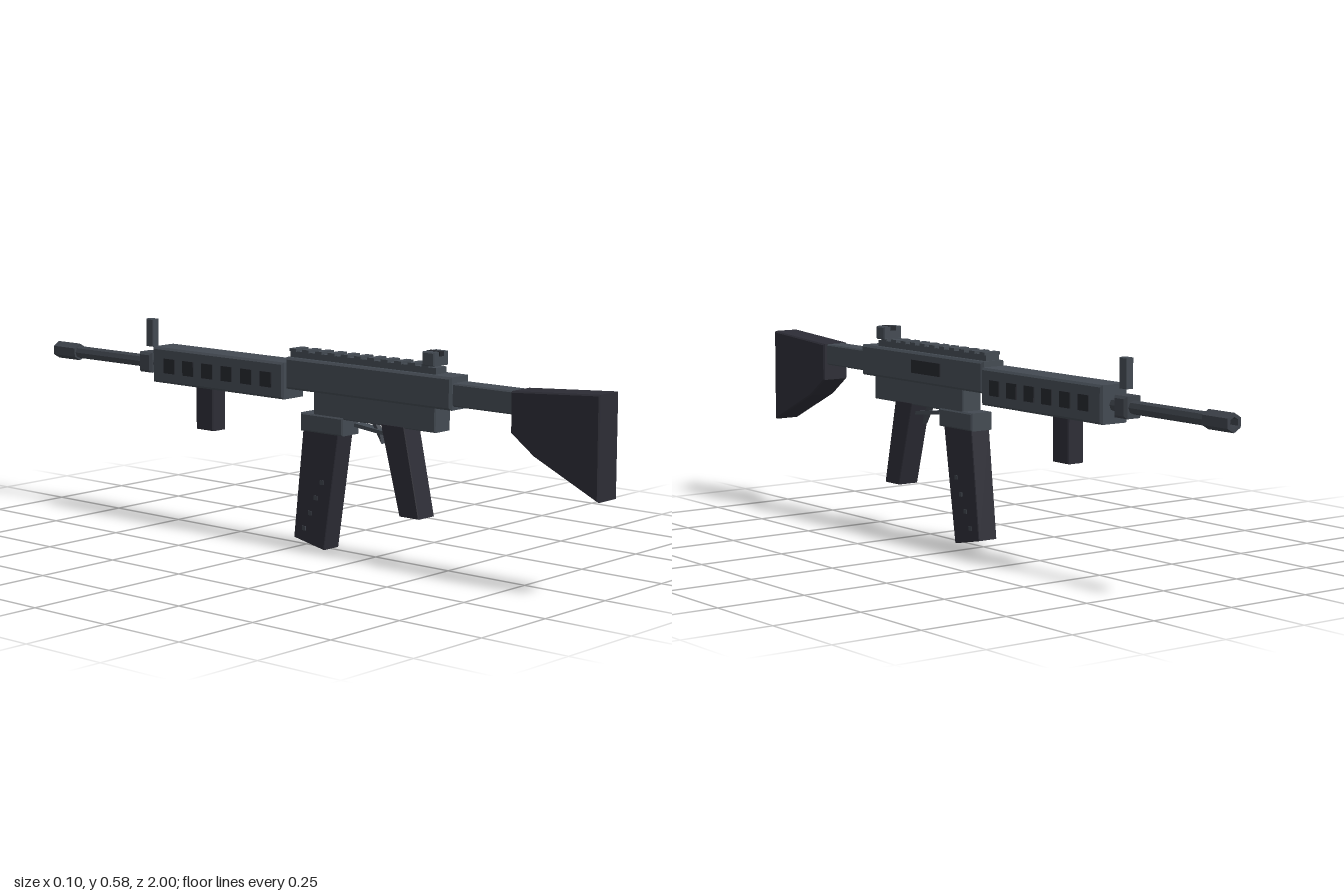
import * as THREE from 'three';

const makeMaterial = (name, color) => {
  const m = new THREE.MeshStandardMaterial({ color });
  m.name = name;
  return m;
};

export function createModel() {
  const metal = makeMaterial('gunmetal', 0x434a52);
  const barrelSteel = makeMaterial('barrel steel', 0x3d424a);
  const polymer = makeMaterial('dark polymer', 0x2c2c35);
  const recess = makeMaterial('recess black', 0x24262c);

  const model = new THREE.Group();
  model.name = 'rifle';

  const add = (name, geometry, material, parent = model) => {
    const mesh = new THREE.Mesh(geometry, material);
    mesh.name = name;
    parent.add(mesh);
    return mesh;
  };
  const group = (name) => {
    const g = new THREE.Group();
    g.name = name;
    model.add(g);
    return g;
  };

  // Side outline of [z, y] points, extruded to half width w with a chamfer b
  const profile = (points, w, b = 0.004) => {
    const shape = new THREE.Shape(points.map(([z, y]) => new THREE.Vector2(-z, y)));
    const g = new THREE.ExtrudeGeometry(shape, {
      depth: 2 * (w - b), bevelEnabled: b > 0, bevelSize: b, bevelThickness: b,
      bevelOffset: -b, bevelSegments: 1,
    });
    return g.translate(0, 0, b - w).rotateY(Math.PI / 2);
  };
  // Chamfered block between two z and two y values
  const block = (z0, z1, y0, y1, w, b) =>
    profile([[z0, y0], [z1, y0], [z1, y1], [z0, y1]], w, b);
  // Plain box between two z and two y values, centred on x
  const box = (z0, z1, y0, y1, w, x = 0) =>
    new THREE.BoxGeometry(2 * w, y1 - y0, z1 - z0).translate(x, (y0 + y1) / 2, (z0 + z1) / 2);
  // Faceted turned part pointing toward -z from zStart
  const turned = (points, sides, zStart) => {
    const g = new THREE.LatheGeometry(points.map(([r, l]) => new THREE.Vector2(r, l)), sides)
      .rotateX(-Math.PI / 2).translate(0, 0.455, zStart).toNonIndexed();
    g.computeVertexNormals();
    return g;
  };

  // Stock and buffer tube
  add('stock', profile([[1, 0.525], [1, 0.255], [0.8, 0.348], [0.728, 0.4], [0.728, 0.507]], 0.041), polymer);
  add('bufferTube', block(0.52, 0.74, 0.445, 0.506, 0.03), metal);

  // Receiver
  add('upperReceiver', block(-0.045, 0.533, 0.435, 0.522, 0.039, 0.006), metal);
  add('lowerReceiver', block(0.053, 0.477, 0.37, 0.44, 0.032, 0.003), metal);
  add('magazineWell', block(0.007, 0.16, 0.325, 0.375, 0.036), metal);
  add('ejectionPort', box(0.145, 0.28, 0.463, 0.5, 0.004, 0.039), recess);

  // Top rail with cross teeth
  const rail = group('topRail');
  add('railBase', box(-0.04, 0.47, 0.52, 0.539, 0.022), metal, rail);
  for (let i = 0; i < 11; i++) {
    const z = -0.028 + i * 0.0465;
    add('railTooth', box(z - 0.012, z + 0.012, 0.538, 0.546, 0.026), metal, rail);
  }

  // Rear sight with a dark notch
  const rearSight = group('rearSight');
  add('sightBody', block(0.43, 0.47, 0.543, 0.58, 0.031, 0.003), metal, rearSight);
  add('sightNotch', box(0.428, 0.472, 0.568, 0.5805, 0.009), recess, rearSight);

  // Magazine with rivets on both sides
  const magazine = group('magazine');
  add('magazineBody', profile([[0.142, 0.335], [0.09, 0.002], [-0.02, 0.024], [0.015, 0.335]], 0.031, 0.002), polymer, magazine);
  for (let i = 0; i < 4; i++) {
    const z = 0.083 - i * 0.0215, y = 0.189 - i * 0.045;
    add('magazineRivets', box(z - 0.006, z + 0.006, y - 0.006, y + 0.006, 0.0335), barrelSteel, magazine);
  }

  // Grip and trigger
  add('pistolGrip', profile([[0.372, 0.375], [0.425, 0.133], [0.358, 0.133], [0.292, 0.375]], 0.033, 0.002), polymer);
  add('triggerGuard', profile([[0.315, 0.338], [0.185, 0.352], [0.185, 0.362], [0.315, 0.348]], 0.015, 0), metal);
  add('trigger', profile([[0.275, 0.315], [0.238, 0.373], [0.25, 0.373], [0.268, 0.345]], 0.008, 0), barrelSteel);

  // Handguard with a row of windows on each side
  const handguard = group('handguard');
  add('handguardBody', block(-0.555, -0.048, 0.405, 0.507, 0.045, 0.006), metal, handguard);
  for (let i = 0; i < 6; i++) {
    const z = -0.11 - i * 0.075;
    for (const side of [-1, 1]) {
      add('handguardWindow', box(z - 0.021, z + 0.021, 0.435, 0.477, 0.003, side * 0.0455), recess, handguard);
    }
  }
  add('foregrip', block(-0.4, -0.333, 0.283, 0.41, 0.026, 0.003), polymer);

  // Barrel, gas block, front post and hollow muzzle
  add('barrel', turned([[0, 0], [0.018, 0], [0.018, 0.4], [0, 0.4]], 8, -0.53), barrelSteel);
  add('gasBlock', block(-0.63, -0.58, 0.426, 0.484, 0.028, 0.007), barrelSteel);
  add('frontSightPost', block(-0.614, -0.585, 0.5, 0.58, 0.012, 0.002), metal);
  add('muzzle', turned([[0, 0], [0.025, 0], [0.025, 0.092], [0.015, 0.092], [0.015, 0.04], [0, 0.04]], 6, -0.908), barrelSteel);
  add('boreEnd', new THREE.CircleGeometry(0.015, 6).rotateX(Math.PI).rotateZ(Math.PI / 6).translate(0, 0.455, -0.95), recess);

  return model;
}
